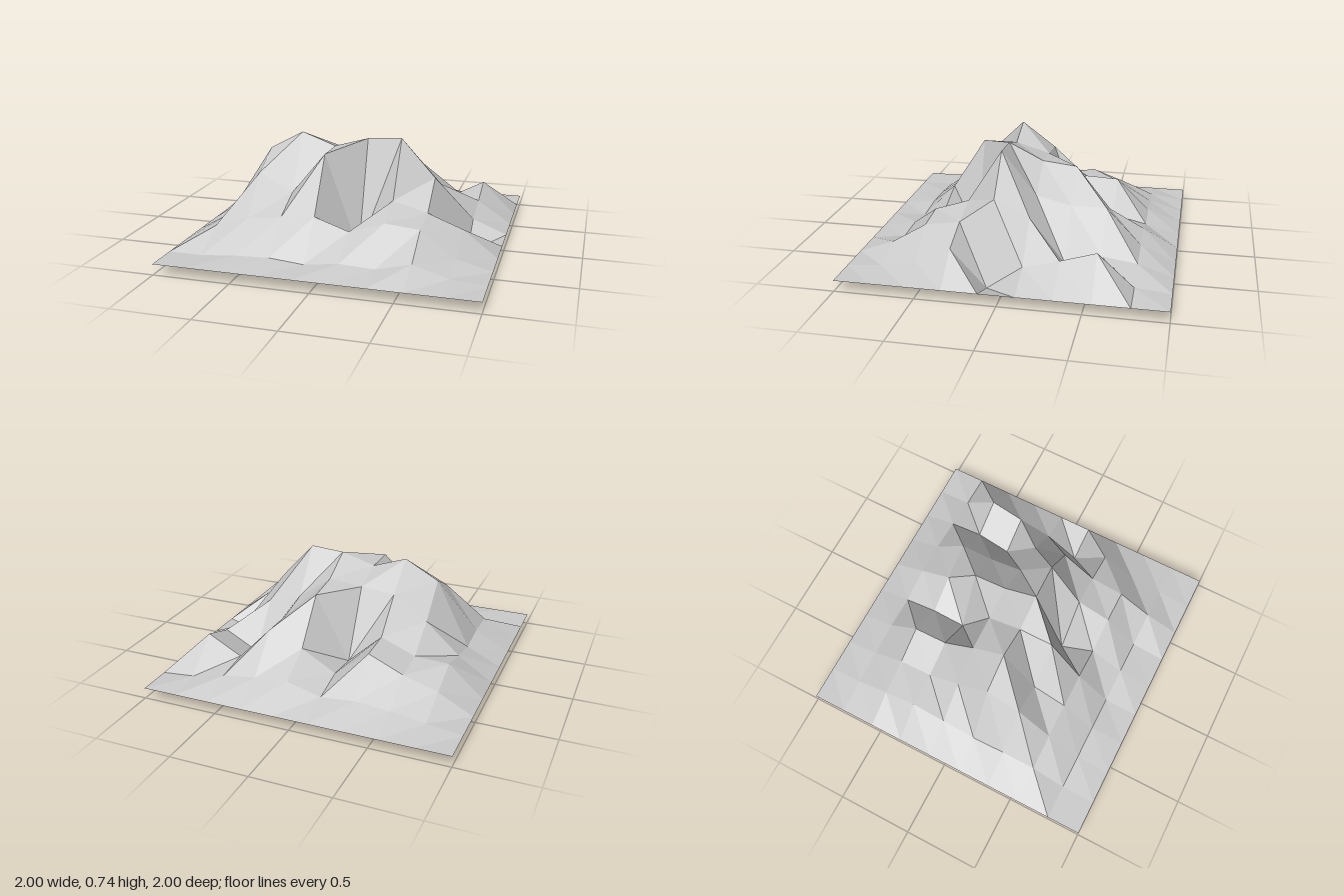
import * as THREE from 'three';

// Height of the flat outer rim, and of each inner grid point (rows run back to front, columns -x to +x)
const RIM = 0.07;
const HEIGHTS = [
  [0.10, 0.13, 0.15, 0.13, 0.19, 0.17, 0.14, 0.09],
  [0.19, 0.26, 0.36, 0.18, 0.31, 0.40, 0.17, 0.29],
  [0.27, 0.28, 0.37, 0.16, 0.585, 0.40, 0.10, 0.22],
  [0.22, 0.42, 0.57, 0.59, 0.61, 0.45, 0.385, 0.16],
  [0.18, 0.615, 0.735, 0.655, 0.72, 0.735, 0.49, 0.0],
  [0.20, 0.50, 0.385, 0.655, 0.035, 0.385, 0.325, 0.24],
  [0.19, 0.26, 0.285, 0.31, 0.235, 0.31, 0.29, 0.13],
  [0.07, 0.09, 0.10, 0.08, 0.11, 0.10, 0.155, 0.09],
];

export function createModel() {
  const group = new THREE.Group();
  group.name = 'mountain';

  // Square grid of nine by nine cells, lifted into a faceted mountain
  const cells = 9;
  const geometry = new THREE.PlaneGeometry(2, 2, cells, cells).rotateX(-Math.PI / 2);
  const position = geometry.attributes.position;
  for (let j = 0; j <= cells; j++) {
    for (let i = 0; i <= cells; i++) {
      position.setY(j * (cells + 1) + i, HEIGHTS[j - 1]?.[i - 1] ?? RIM);
    }
  }
  geometry.computeVertexNormals();

  const material = new THREE.MeshStandardMaterial({
    color: 0xcccccc,
    flatShading: true,
    side: THREE.DoubleSide,
  });
  const terrain = new THREE.Mesh(geometry, material);
  terrain.name = 'terrain';
  group.add(terrain);
  return group;
}
